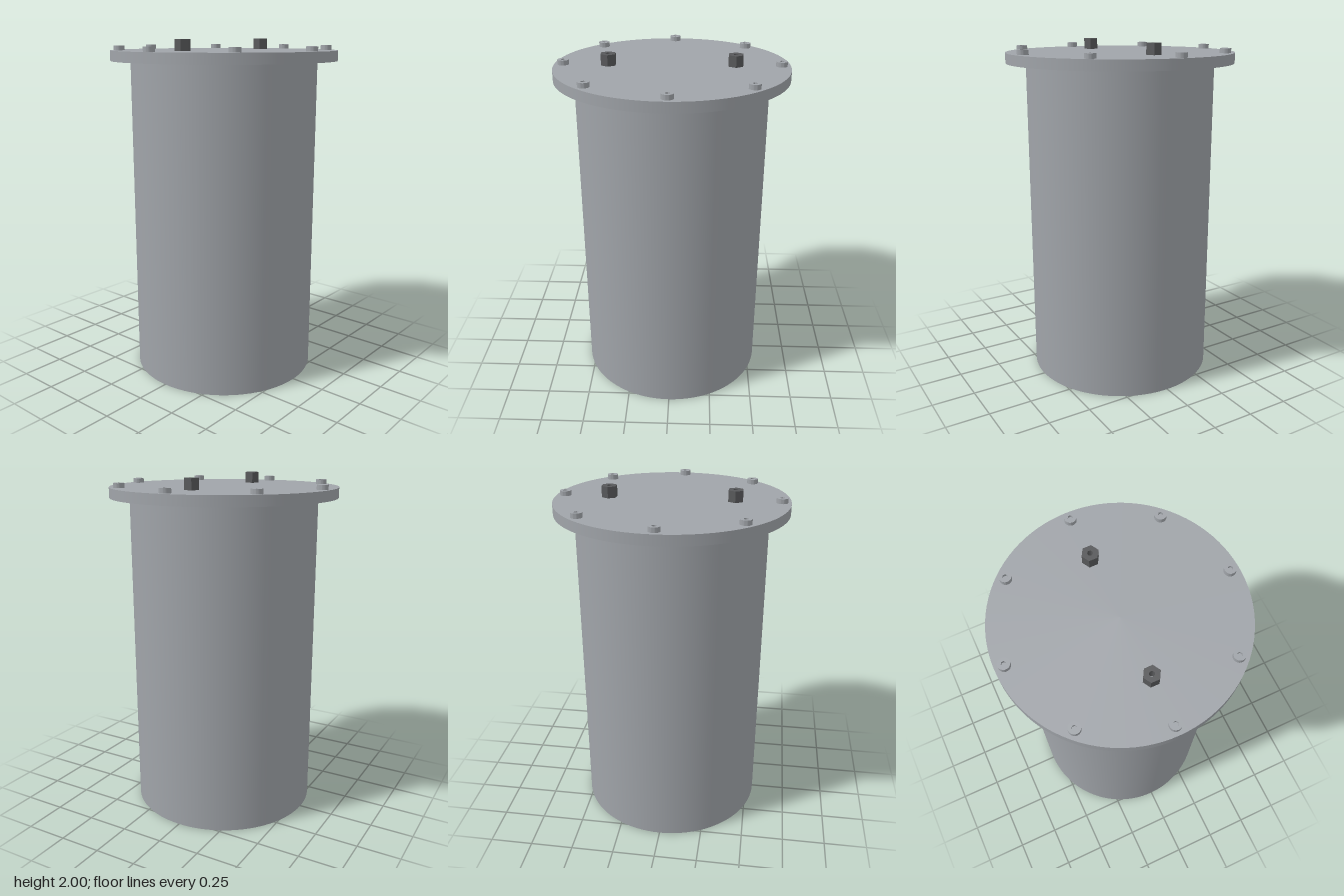
import * as THREE from 'three';
import { toCreasedNormals } from 'three/addons/utils/BufferGeometryUtils.js';

const BODY_R = 0.547, LID_R = 0.662, LID_BOTTOM = 1.878, LID_TOP = 1.937;

// Corner points of a regular polygon with its first corner on +x
function ring(radius, sides) {
  return Array.from({ length: sides }, (_, i) => {
    const a = (i / sides) * Math.PI * 2;
    return new THREE.Vector2(Math.cos(a) * radius, Math.sin(a) * radius);
  });
}

// Upright prism with a central hole, standing on y = 0
function holedPrism(radius, sides, holeRadius, holeSides, height) {
  const shape = new THREE.Shape(ring(radius, sides));
  shape.holes.push(new THREE.Path(ring(holeRadius, holeSides)));
  const geometry = new THREE.ExtrudeGeometry(shape, { depth: height, bevelEnabled: false });
  geometry.rotateX(-Math.PI / 2);
  return toCreasedNormals(geometry, Math.PI / 6);
}

export function createModel() {
  const steel = new THREE.MeshStandardMaterial({ name: 'steel grey', color: 0xa0a4a9 });
  const dark = new THREE.MeshStandardMaterial({ name: 'dark grey', color: 0x58595b });
  const model = new THREE.Group();
  model.name = 'flangedCanister';

  function add(parent, name, geometry, material, x, y, z) {
    const mesh = new THREE.Mesh(geometry, material);
    mesh.name = name;
    mesh.position.set(x, y, z);
    parent.add(mesh);
    return mesh;
  }

  // Main vessel and the lid that overhangs it
  add(model, 'body', new THREE.CylinderGeometry(BODY_R, BODY_R, LID_BOTTOM, 96), steel, 0, LID_BOTTOM / 2, 0);
  const lidHeight = LID_TOP - LID_BOTTOM;
  add(model, 'lid', new THREE.CylinderGeometry(LID_R, LID_R, lidHeight, 96), steel, 0, LID_BOTTOM + lidHeight / 2, 0);

  // Eight socket-head bolts around the rim
  const headGeometry = holedPrism(0.032, 32, 0.014, 6, 0.027);
  const socketFloor = new THREE.CylinderGeometry(0.015, 0.015, 0.012, 6);
  for (let i = 0; i < 8; i++) {
    const a = (i / 8) * Math.PI * 2;
    const bolt = new THREE.Group();
    bolt.name = 'lidBolt';
    bolt.position.set(Math.cos(a) * 0.61, LID_TOP, Math.sin(a) * 0.61);
    add(bolt, 'boltHead', headGeometry, steel, 0, 0, 0);
    add(bolt, 'socketFloor', socketFloor, steel, 0, 0.006, 0);
    model.add(bolt);
  }

  // Two hexagonal ports with open bores
  const portGeometry = holedPrism(0.046, 6, 0.014, 24, 2 - LID_TOP);
  for (const side of [-1, 1]) {
    add(model, side > 0 ? 'frontPort' : 'backPort', portGeometry, dark, 0, LID_TOP, side * 0.355);
  }

  return model;
}
